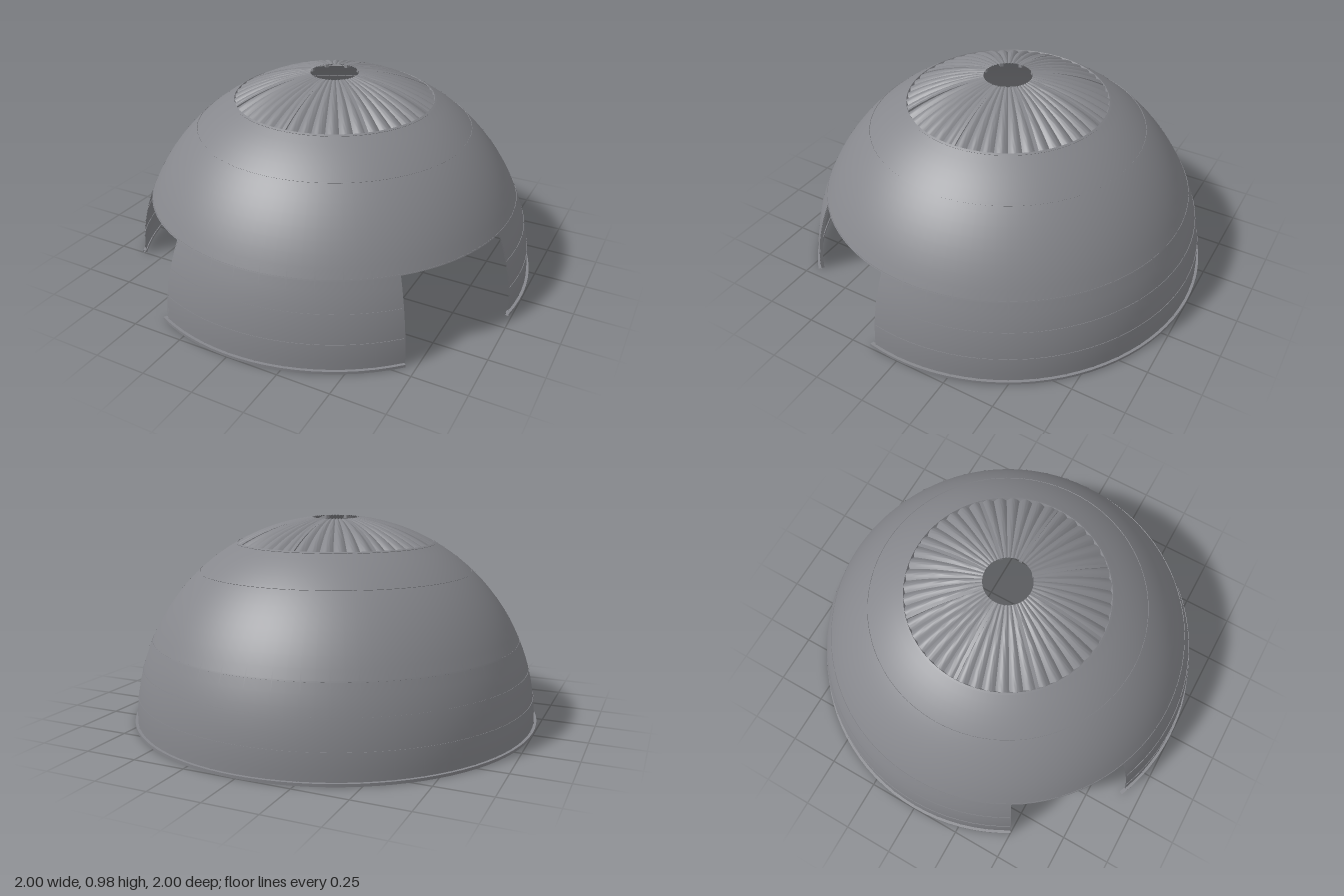
import * as THREE from 'three';
import { toCreasedNormals } from 'three/addons/utils/BufferGeometryUtils.js';

const R = 0.987;            // dome radius
const N = 48;               // panels around
const STEP = 360 / N;
const LINTEL = 0.4;         // top of the two openings
const CAP = 0.86;           // bottom of the fluted cap
const HOLE = 0.115;         // radius of the hole in the crown
const CROWN = Math.sqrt(R * R - HOLE * HOLE);
const rad = THREE.MathUtils.degToRad;

// Wall spans between the openings, in degrees from +z towards +x
const WALLS = [[-22.5, 45], [82.5, 300]];
const RING = [[-24, 45], [81, 300]];
const inOpening = (a) => (a > 45 && a < 82.5) || (a > 300 && a < 337.5);

// Points on a circular arc of radius r, between two heights on the dome
function arc(r, y0, y1, n) {
  const a = Math.asin(y0 / R), b = Math.asin(y1 / R);
  return Array.from({ length: n + 1 }, (_, i) => {
    const t = a + (b - a) * i / n;
    return new THREE.Vector2(r * Math.cos(t), r * Math.sin(t));
  });
}

function lathe(points, from, to, perPanel = 2) {
  const segments = Math.max(1, Math.round((to - from) / STEP * perPanel));
  return new THREE.LatheGeometry(points, segments, rad(from), rad(to - from));
}

// Closed strip lying on the dome, slightly proud of both faces
function strip(y0, y1, from, to, n, depth = 0.003) {
  const outer = arc(R + 0.002, y0, y1, n);
  const inner = arc(R - depth, y0, y1, n).reverse();
  return toCreasedNormals(lathe([...outer, ...inner, outer[0]], from, to), 0.6);
}

// Crown of rounded flutes, with valleys sunk below the dome's surface
function flutedCap() {
  const geo = lathe(arc(R, CAP, CROWN, 10), 0, 360, 10);
  const pos = geo.attributes.position, v = new THREE.Vector3();
  for (let i = 0; i < pos.count; i++) {
    v.fromBufferAttribute(pos, i);
    const r = Math.hypot(v.x, v.z);
    const bulge = Math.abs(Math.sin(Math.atan2(v.x, v.z) * N / 2));
    v.setLength(R - 0.03 * r * (1 - bulge));
    pos.setXYZ(i, v.x, v.y, v.z);
  }
  return toCreasedNormals(geo, 0.7);
}

// Curved beam following the inside of the dome
function ribGeometry(y0) {
  const shape = new THREE.Shape([...arc(R - 0.001, y0, CROWN, 28), ...arc(R - 0.016, y0, CROWN, 28).reverse()]);
  const geo = new THREE.ExtrudeGeometry(shape, { depth: 0.016, bevelEnabled: false, steps: 1 });
  geo.translate(0, 0, -0.008);
  return toCreasedNormals(geo, 0.6);
}

export function createModel() {
  const model = new THREE.Group();
  model.name = 'dome';
  const grey = new THREE.MeshStandardMaterial({ color: 0x86878c, side: THREE.DoubleSide });
  grey.name = 'metal grey';
  const add = (name, geo, parent = model) => {
    const mesh = new THREE.Mesh(geo, grey);
    mesh.name = name;
    parent.add(mesh);
    return mesh;
  };
  const group = (name) => {
    const g = new THREE.Group();
    g.name = name;
    model.add(g);
    return g;
  };

  // Shell: lower walls with two openings, full upper dome, fluted cap
  for (const [a, b] of WALLS) add('lowerWall', lathe(arc(R, 0, LINTEL, 8), a, b));
  add('upperDome', lathe(arc(R, LINTEL, CAP, 12), 0, 360));
  add('flutedCap', flutedCap());

  // Base ring
  const section = [[0.982, 0], [1, 0], [1, 0.013], [0.982, 0.013], [0.982, 0]].map(([x, y]) => new THREE.Vector2(x, y));
  for (const [a, b] of RING) add('baseRing', toCreasedNormals(lathe(section, a, b), 0.6));

  // Horizontal seams; the one under the cap is deep enough to close the flutes
  const bands = group('horizontalSeams');
  const h = 0.0025;
  for (const y of [0.132, 0.265]) {
    for (const [a, b] of WALLS) add('wallSeam', strip(y - h, y + h, a, b, 1), bands);
  }
  for (const y of [LINTEL, 0.728]) add('ringSeam', strip(y - h, y + h, 0, 360, 1), bands);
  add('capSeam', strip(CAP - h, CAP + h, 0, 360, 1, 0.017), bands);

  // Vertical seams between panels
  const seams = group('verticalSeams');
  for (let i = 0; i < N; i++) {
    const a = i * STEP;
    add('panelSeam', strip(inOpening(a) ? LINTEL : 0, CAP, a - 0.15, a + 0.15, 20), seams);
  }

  // Eight inner ribs; the one beside an opening sits just inside its edge
  const ribs = group('innerRibs');
  for (const a of [0, 44.5, 90, 135, 180, 225, 270, 315]) {
    add('innerRib', ribGeometry(inOpening(a) ? LINTEL : 0), ribs).rotation.y = rad(a - 90);
  }
  return model;
}
